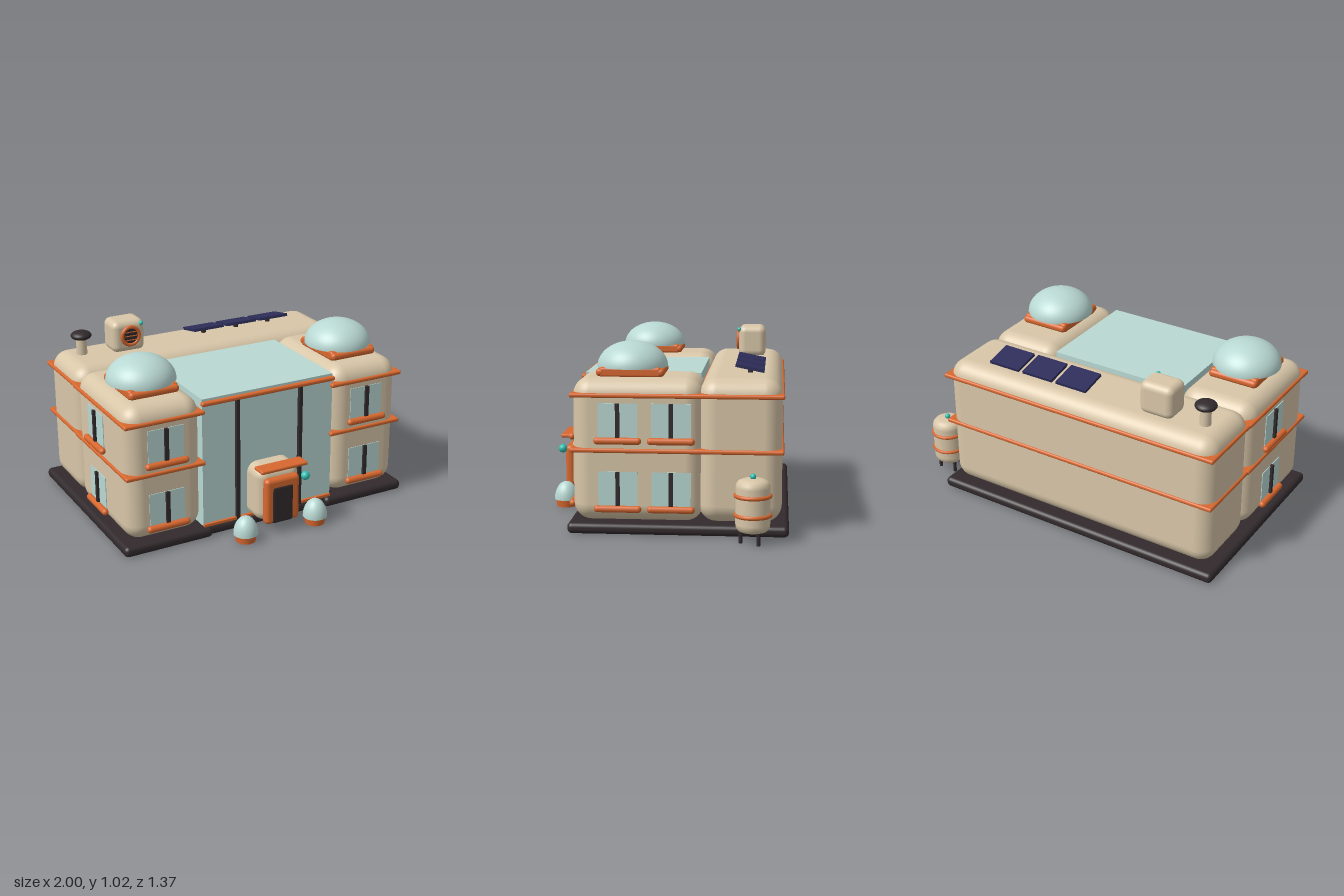
import * as THREE from 'three';
import { RoundedBoxGeometry } from 'three/addons/geometries/RoundedBoxGeometry.js';

function material(name, color, side = THREE.FrontSide) {
  const m = new THREE.MeshStandardMaterial({ color, side });
  m.name = name;
  return m;
}

export function createModel() {
  const plaster = material('sand plaster', 0xd8c6a8);
  const orange = material('orange trim', 0xd8682f);
  const dark = material('dark metal', 0x322a2c);
  const glass = material('pale glass', 0xb9d8d3, THREE.DoubleSide);
  const navy = material('navy solar cell', 0x2d2d5a);
  const teal = material('teal lamp', 0x2fbfb0);

  const model = new THREE.Group();
  model.name = 'building';

  const add = (parent, name, geometry, mat, x = 0, y = 0, z = 0) => {
    const mesh = new THREE.Mesh(geometry, mat);
    mesh.name = name;
    mesh.position.set(x, y, z);
    parent.add(mesh);
    return mesh;
  };
  // Box from its limits, rounded when r > 0
  const span = (parent, name, mat, [x0, x1], [y0, y1], [z0, z1], r = 0) => {
    const size = [x1 - x0, y1 - y0, z1 - z0];
    const geometry = r ? new RoundedBoxGeometry(...size, 5, r) : new THREE.BoxGeometry(...size);
    return add(parent, name, geometry, mat, (x0 + x1) / 2, (y0 + y1) / 2, (z0 + z1) / 2);
  };
  const ball = (parent, name, r, x, y, z) =>
    add(parent, name, new THREE.SphereGeometry(r, 20, 14), teal, x, y, z);
  const group = (name, x = 0, y = 0, z = 0) => {
    const g = new THREE.Group();
    g.name = name;
    g.position.set(x, y, z);
    model.add(g);
    return g;
  };

  // Foundation with two feet reaching forward under the wings
  span(model, 'foundation', dark, [-1, 0.785], [0, 0.06], [-0.685, 0.478], 0.026);
  span(model, 'foundationFoot', dark, [-1, -0.47], [0, 0.06], [0.3, 0.5], 0.026);
  span(model, 'foundationFoot', dark, [0.26, 0.785], [0, 0.06], [0.3, 0.5], 0.026);

  // Rear block and two wings, each wrapped by two bands
  const blocks = [
    ['rearBlock', [-0.96, 0.75], [-0.645, -0.2]],
    ['rightWing', [-0.965, -0.515], [-0.225, 0.475]],
    ['leftWing', [0.3, 0.75], [-0.225, 0.475]],
  ];
  for (const [name, xs, zs] of blocks) {
    span(model, name, plaster, xs, [0.06, 0.835], zs, 0.095);
    for (const y of [0.45, 0.745]) {
      span(model, name + 'Band', orange, [xs[0] - 0.01, xs[1] + 0.01], [y - 0.012, y + 0.012],
        [zs[0] - 0.01, zs[1] + 0.01], 0.01);
    }
  }

  // Glazed atrium between the wings
  span(model, 'atriumGlass', glass, [-0.515, 0.305], [0.06, 0.815], [-0.19, 0.46]);
  for (const x of [-0.305, 0.09])
    span(model, 'atriumMullion', dark, [x - 0.01, x + 0.01], [0.06, 0.79], [0.455, 0.482]);
  span(model, 'atriumTopRail', orange, [-0.525, 0.31], [0.778, 0.803], [0.455, 0.485], 0.01);
  span(model, 'atriumBottomRail', orange, [-0.515, 0.3], [0.06, 0.075], [0.455, 0.477]);

  // Windows with a central mullion and a rounded sill
  const sillGeometry = new THREE.CapsuleGeometry(0.019, 0.217, 6, 14).rotateZ(Math.PI / 2);
  const addWindow = (x, z, turn) => {
    for (const y of [0.505, 0.137]) {
      const w = group('window', x, y, z);
      w.rotation.y = turn;
      span(w, 'windowGlass', glass, [-0.105, 0.105], [0, 0.2], [-0.004, 0.004]);
      span(w, 'windowMullion', dark, [-0.011, 0.011], [0, 0.2], [-0.01, 0.018]);
      add(w, 'windowSill', sillGeometry, orange, 0, 0, 0.014);
    }
  };
  addWindow(-0.738, 0.475, 0);
  addWindow(0.525, 0.475, 0);
  addWindow(0.75, 0.227, Math.PI / 2);
  addWindow(0.75, -0.058, Math.PI / 2);
  addWindow(-0.965, 0.07, -Math.PI / 2);

  // Roof domes on orange curbs
  for (const x of [-0.734, 0.519]) {
    const d = group('roofDome', x, 0, 0.17);
    for (const s of [-1, 1]) {
      span(d, 'domeCurb', orange, [-0.145, 0.145], [0.835, 0.878], [s * 0.16 - 0.024, s * 0.16 + 0.024], 0.019);
      span(d, 'domeCurb', orange, [s * 0.122 - 0.022, s * 0.122 + 0.022], [0.83, 0.885], [-0.165, 0.165], 0.015);
    }
    const shell = add(d, 'domeGlass',
      new THREE.SphereGeometry(0.192, 40, 16, 0, Math.PI * 2, 0, Math.PI / 2), glass, 0, 0.878, 0);
    shell.scale.y = 0.72;
  }

  // Entrance porch, door and canopy
  const porch = group('entrance');
  span(porch, 'porch', plaster, [-0.24, 0.025], [0.065, 0.388], [0.4, 0.597], 0.06);
  span(porch, 'doorFrame', orange, [-0.215, 0], [0.065, 0.337], [0.58, 0.635], 0.024);
  span(porch, 'door', dark, [-0.178, -0.043], [0.068, 0.29], [0.6, 0.639], 0.015);
  span(porch, 'canopy', orange, [-0.255, 0.036], [0.39, 0.411], [0.565, 0.655], 0.009);
  ball(porch, 'porchLamp', 0.025, 0.025, 0.325, 0.645);

  // Egg-shaped garden lights
  for (const x of [-0.332, 0.114]) {
    const g = group('gardenLight', x, 0, 0.612);
    add(g, 'lightBase', new THREE.CylinderGeometry(0.061, 0.055, 0.045, 28), orange, 0, 0.0225, 0);
    const shell = add(g, 'lightShell',
      new THREE.SphereGeometry(0.069, 28, 12, 0, Math.PI * 2, 0, Math.PI / 2), glass, 0, 0.042, 0);
    shell.scale.y = 1.52;
  }

  // Water tank on three legs, piped to the wall
  const tank = group('waterTank', 0.896, 0, -0.495);
  const profile = [[0, 0.06], [0.05, 0.06], [0.075, 0.068], [0.088, 0.085], [0.091, 0.105],
    [0.091, 0.295], [0.088, 0.315], [0.075, 0.332], [0.05, 0.342], [0, 0.344]];
  add(tank, 'tankBody', new THREE.LatheGeometry(profile.map(p => new THREE.Vector2(...p)), 32), plaster);
  for (const y of [0.152, 0.254])
    add(tank, 'tankBand', new THREE.TorusGeometry(0.09, 0.011, 10, 36).rotateX(Math.PI / 2), orange, 0, y, 0);
  for (const [x, z] of [[0, 0.063], [-0.054, -0.031], [0.054, -0.031]])
    add(tank, 'tankLeg', new THREE.CylinderGeometry(0.01, 0.01, 0.085, 10), dark, x, 0.0425, z);
  ball(tank, 'tankLamp', 0.016, 0, 0.353, 0);
  add(tank, 'tankPipe', new THREE.CylinderGeometry(0.011, 0.011, 0.1, 12).rotateZ(Math.PI / 2), dark, -0.12, 0.225, 0);

  // Mushroom roof vent
  const vent = group('roofVent', -0.82, 0, -0.465);
  add(vent, 'ventPipe', new THREE.CylinderGeometry(0.031, 0.031, 0.12, 20), plaster, 0, 0.88, 0);
  add(vent, 'ventCap', new THREE.SphereGeometry(0.06, 28, 14), dark, 0, 0.947, 0).scale.y = 0.45;

  // Rooftop air unit with a round grille
  const unit = group('airUnit');
  span(unit, 'airUnitBody', plaster, [-0.657, -0.455], [0.825, 1.015], [-0.538, -0.375], 0.04);
  add(unit, 'fanRing', new THREE.TorusGeometry(0.053, 0.011, 10, 32), orange, -0.552, 0.927, -0.37);
  add(unit, 'fanDisc', new THREE.CylinderGeometry(0.05, 0.05, 0.012, 32).rotateX(Math.PI / 2), dark, -0.552, 0.927, -0.372);
  for (const dy of [-0.024, 0, 0.024])
    add(unit, 'fanSlat', new THREE.BoxGeometry(0.082, 0.005, 0.006), orange, -0.552, 0.927 + dy, -0.365);
  ball(unit, 'airUnitLamp', 0.013, -0.482, 0.993, -0.376);

  // Tilted solar panels on short posts
  for (const x of [-0.032, 0.19, 0.412]) {
    const p = group('solarPanel', x, 0.868, -0.465);
    add(p, 'panelPost', new THREE.CylinderGeometry(0.014, 0.014, 0.05, 10), dark, 0, -0.024, 0);
    add(p, 'panelPlate', new THREE.BoxGeometry(0.195, 0.016, 0.16), navy).rotation.x = -0.2;
  }
  return model;
}
